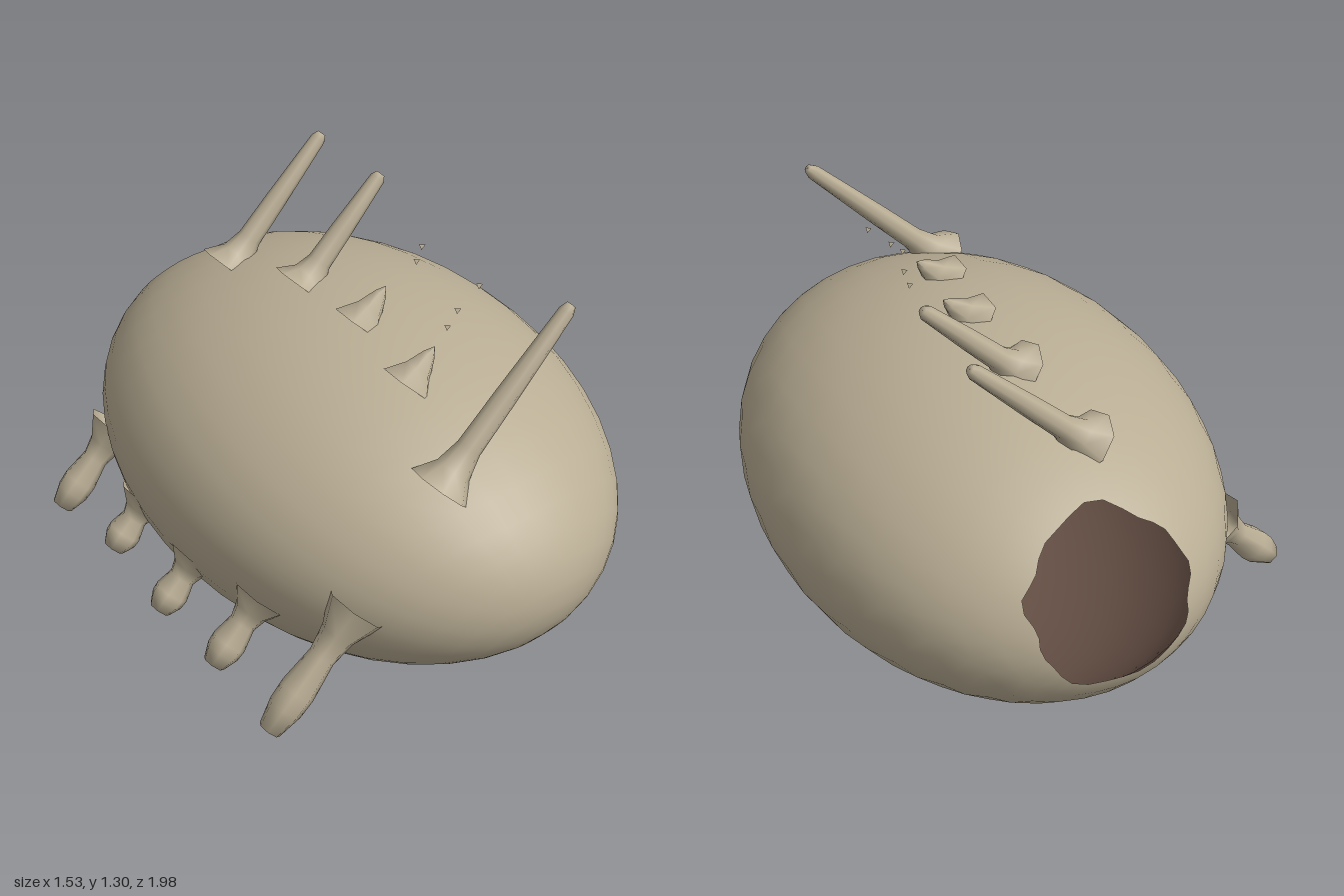
import * as THREE from 'three';

const RX = 0.715, RY = 0.515, RZ = 0.995, CX = 0.055, CY = 0.515;
const LINE = 0.975; // every spine lies on the diagonal y = x + LINE
const shellMat = new THREE.MeshStandardMaterial({ color: 0xb9ad94, side: THREE.DoubleSide });
const innerMat = new THREE.MeshStandardMaterial({ color: 0x6b5449, side: THREE.BackSide });
const outerMat = new THREE.MeshStandardMaterial({ color: 0xb9ad94 });

// Ellipsoid whose pole is opened into a ragged oval mouth at the upper back
function shellGeometry(inset) {
  const geo = new THREE.SphereGeometry(1, 36, 20, 0, Math.PI * 2, 0.3, Math.PI - 0.3);
  const { position: pos, normal, uv } = geo.attributes;
  const axis = new THREE.Vector3(1, 0, 0);
  const p = new THREE.Vector3();
  for (let i = 0; i < pos.count; i++) {
    const phi = uv.getX(i) * Math.PI * 2, t = 1 - uv.getY(i);
    const rag = 0.015 * Math.sin(phi * 5) + 0.012 * Math.sin(phi * 9 + 1);
    const open = 1 / Math.hypot(Math.cos(phi) / 0.36, Math.sin(phi) / 0.465) + rag;
    const theta = open + t * (Math.PI - open);
    p.set(-Math.cos(phi) * Math.sin(theta), Math.cos(theta), Math.sin(phi) * Math.sin(theta));
    p.applyAxisAngle(axis, -1.286);
    const k = t < 0.01 ? 1 : 1 - inset;
    pos.setXYZ(i, CX + p.x * RX * k, CY + p.y * RY * k, p.z * RZ * k);
    p.set(p.x / RX, p.y / RY, p.z / RZ).normalize();
    normal.setXYZ(i, p.x, p.y, p.z);
  }
  return geo;
}

// Where the diagonal at depth z meets the shell: sign +1 upper, -1 lower
function surfaceX(z, sign) {
  const a = 1 / RX ** 2 + 1 / RY ** 2;
  const b = -2 * CX / RX ** 2 + 2 * (LINE - CY) / RY ** 2;
  const c = CX ** 2 / RX ** 2 + (LINE - CY) ** 2 / RY ** 2 + z * z / RZ ** 2 - 1;
  return (-b + sign * Math.sqrt(Math.max(0, b * b - 4 * a * c))) / (2 * a);
}

// Turned spine: rows of [radius, fraction of length], pointing along the diagonal
function spine(name, z, sign, tipX, rows, sides) {
  const x = surfaceX(z, sign) - sign * 0.03;
  const length = Math.abs(tipX - x) * Math.SQRT2;
  const profile = rows.map(([r, f]) => new THREE.Vector2(r, f * length));
  const mesh = new THREE.Mesh(new THREE.LatheGeometry(profile, sides), shellMat);
  mesh.name = name;
  mesh.position.set(x, x + LINE, z);
  mesh.rotation.z = sign > 0 ? -Math.PI / 4 : Math.PI * 0.75;
  return mesh;
}

export function createModel() {
  const group = new THREE.Group();
  group.name = 'spinedShell';

  const outer = new THREE.Mesh(shellGeometry(0), outerMat);
  outer.name = 'outerShell';
  const inner = new THREE.Mesh(shellGeometry(0.025), innerMat);
  inner.name = 'innerWall';
  group.add(outer, inner);

  // Long upper spines with flared roots
  const longRows = [[0.1, 0], [0.055, 0.1], [0.038, 0.22], [0.034, 0.5], [0.024, 0.96], [0.014, 1], [0, 1]];
  for (const z of [0.685, -0.205, -0.52])
    group.add(spine('upperSpine', z, 1, 0.315, longRows, 8));

  // Broken upper stubs
  const stubRows = [[0.09, 0], [0.045, 0.4], [0.02, 0.8], [0, 1]];
  for (const [z, tipX] of [[0.37, 0.085], [0.08, 0.125]])
    group.add(spine('brokenStub', z, 1, tipX, stubRows, 6));

  // Thick lower spines, swollen towards the tip
  const thickRows = [[0.1, 0], [0.055, 0.22], [0.042, 0.4], [0.056, 0.68], [0.054, 0.82], [0.036, 1], [0, 1]];
  for (const [z, tipX] of [[0.69, -0.74], [0.38, -0.73], [0.08, -0.735], [-0.23, -0.715], [-0.53, -0.735]])
    group.add(spine('lowerSpine', z, -1, tipX, thickRows, 7));

  // Small loose splinters above the stubs
  const chip = new THREE.TetrahedronGeometry(0.012);
  for (const [x, y, z] of [[0.24, 1.215, 0.375], [0.17, 1.15, 0.365], [0.13, 1.11, 0.37], [0.235, 1.215, 0.11], [0.22, 1.165, 0.105]]) {
    const mesh = new THREE.Mesh(chip, shellMat);
    mesh.name = 'splinter';
    mesh.position.set(x, y, z);
    group.add(mesh);
  }
  return group;
}
